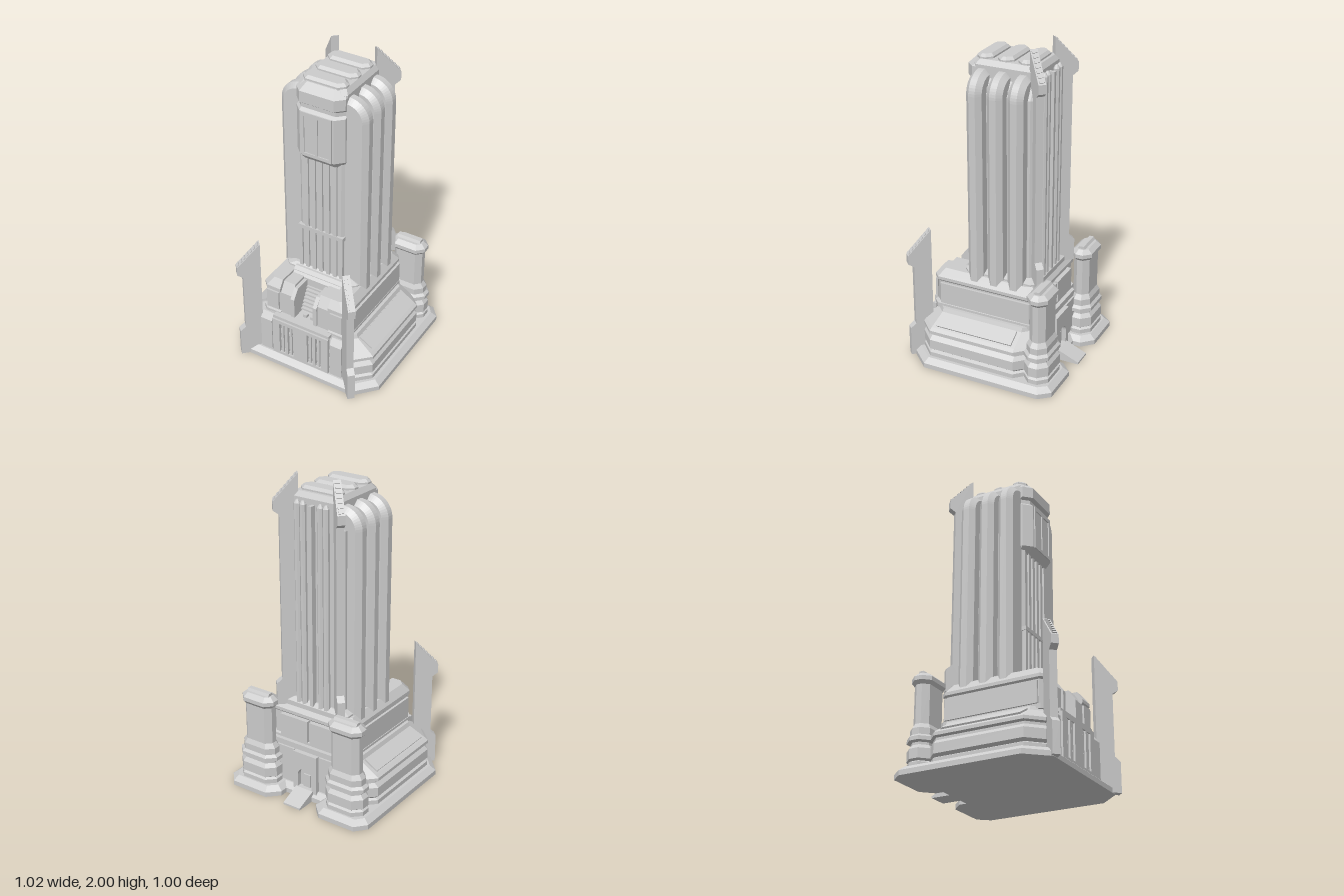
import * as THREE from 'three';

const material = new THREE.MeshStandardMaterial({ color: 0xcccccc, flatShading: true });

export function createModel() {
  const model = new THREE.Group();

  const add = (name, geometry, x = 0, y = 0, z = 0, parent = model) => {
    const mesh = new THREE.Mesh(geometry, material);
    mesh.name = name;
    mesh.position.set(x, y, z);
    parent.add(mesh);
    return mesh;
  };
  const box = (name, w, h, d, x, y, z, parent) => add(name, new THREE.BoxGeometry(w, h, d), x, y, z, parent);
  const toShape = (pts) => new THREE.Shape(pts.map((p) => new THREE.Vector2(p[0], p[1])));
  const rect = (x0, y0, x1, y1) => [[x0, y0], [x1, y0], [x1, y1], [x0, y1]];
  const extrude = (shape, depth) => new THREE.ExtrudeGeometry(shape, { depth, bevelEnabled: false, curveSegments: 8 });

  // Chamfered rectangle in plan, counterclockwise from above
  const oct = (hx, zf, zb, c) => [
    [hx - c, zf], [hx, zf - c], [hx, zb + c], [hx - c, zb],
    [c - hx, zb], [-hx, zb + c], [-hx, zf - c], [c - hx, zf]];
  const mirrored = (half) => [...half, ...half.slice().reverse().map(([x, z]) => [-x, z])];

  // Solid through plan outlines stacked at heights: [[y, outline], ...]
  const loft = (name, levels, x = 0, z = 0) => {
    const pos = [];
    const put = (y, p) => pos.push(p[0], y, p[1]);
    for (let i = 0; i + 1 < levels.length; i++) {
      const [y0, a] = levels[i], [y1, b] = levels[i + 1];
      a.forEach((p, j) => {
        const k = (j + 1) % a.length;
        put(y0, p); put(y0, a[k]); put(y1, b[k]);
        put(y0, p); put(y1, b[k]); put(y1, b[j]);
      });
    }
    [[levels[0], true], [levels[levels.length - 1], false]].forEach(([[y, o], flip]) => {
      const flat = o.map((p) => new THREE.Vector2(p[0], -p[1]));
      for (const f of THREE.ShapeUtils.triangulateShape(flat, [])) {
        (flip ? [f[0], f[2], f[1]] : f).forEach((i) => put(y, o[i]));
      }
    });
    const g = new THREE.BufferGeometry();
    g.setAttribute('position', new THREE.Float32BufferAttribute(pos, 3));
    g.computeVertexNormals();
    return add(name, g, x, 0, z);
  };
  // Side profile of (z, y) points pushed from x0 to x1
  const prism = (name, pts, x0, x1) => {
    const mesh = add(name, extrude(toShape(pts), x1 - x0), x1);
    mesh.rotation.y = -Math.PI / 2;
    return mesh;
  };

  // Ground pad with two rear lobes
  const pad = (d) => mirrored([
    [0.39 - 0.4 * d, 0.46 - d], [0.51 - d, 0.33 - 0.4 * d], [0.51 - d, -0.43 + 0.4 * d], [0.45 - 0.4 * d, -0.5 + d],
    [0.2 + 0.4 * d, -0.5 + d], [0.13 + d, -0.43 + 0.4 * d], [0.13 + d, -0.38 + d]]);
  loft('groundPad', [[0, pad(0)], [0.03, pad(0)], [0.058, pad(0.035)]]);

  // Stepped lower body with sloping side roofs
  const tier = (d) => oct(0.455 - d, 0.405 - d * 0.2, -0.335, 0.09);
  loft('lowerBody', [[0.05, tier(0)], [0.085, tier(0)], [0.095, tier(0.02)], [0.11, tier(0)], [0.17, tier(0)],
    [0.195, tier(0.025)], [0.21, tier(0.025)], [0.215, tier(0)], [0.235, tier(0)], [0.25, tier(0.02)],
    [0.31, tier(0.12)], [0.335, tier(0.13)]]);

  // Upper podium, notched at the front for the entrance bay
  const podium = (d) => mirrored([[0.17, 0.21], [0.17, 0.375 - d], [0.27 - d, 0.375 - d], [0.305 - d, 0.34 - d],
    [0.305 - d, -0.28 + d], [0.28 - d, -0.31 + d]]);
  loft('podium', [[0.32, podium(0)], [0.35, podium(0)], [0.355, podium(0.015)], [0.5, podium(0.015)],
    [0.51, podium(0.005)], [0.53, podium(0.005)], [0.58, podium(0.04)]]);

  for (const s of [1, -1]) {
    // Raised side panels on the podium and the sloping roofs
    loft('podiumSidePanel', [[0.355, oct(0.01, 0.32, -0.28, 0.004)], [0.49, oct(0.01, 0.32, -0.28, 0.004)]], s * 0.295);
    const roof = box('slopedRoofPanel', 0.1, 0.014, 0.5, s * 0.383, 0.285, 0.03);
    roof.rotation.z = -s * Math.atan2(0.06, 0.1);
    prism('frontFlank', [[0.36, 0.055], [0.415, 0.055], [0.415, 0.29], [0.385, 0.33], [0.36, 0.33]],
      s > 0 ? 0.21 : -0.29, s > 0 ? 0.29 : -0.21);
    box('podiumFrontPanel', 0.085, 0.13, 0.016, s * 0.225, 0.43, 0.364);

    // Entrance bay side blocks and arms
    const span = (a, b) => (s > 0 ? [a, b] : [-b, -a]);
    prism('bayBlock', [[0.2, 0.33], [0.36, 0.33], [0.36, 0.5], [0.32, 0.565], [0.2, 0.565]], ...span(0.09, 0.171));
    prism('bayArm', [[0.2, 0.355], [0.375, 0.355], [0.375, 0.49], [0.33, 0.55], [0.2, 0.55]], ...span(0.066, 0.092));
    box('bayFloorLight', 0.025, 0.02, 0.025, s * 0.025, 0.345, 0.31);

    // Rear corner turrets
    const t = (hx, hz) => oct(hx, hz, -hz, hz * 0.65);
    loft('cornerTurret', [[0.05, t(0.135, 0.08)], [0.085, t(0.135, 0.08)], [0.095, t(0.12, 0.066)],
      [0.105, t(0.135, 0.08)], [0.165, t(0.135, 0.08)], [0.19, t(0.115, 0.062)], [0.205, t(0.115, 0.062)],
      [0.212, t(0.138, 0.08)], [0.235, t(0.138, 0.08)], [0.25, t(0.12, 0.066)], [0.29, t(0.12, 0.066)],
      [0.32, t(0.1, 0.052)], [0.56, t(0.1, 0.052)], [0.58, t(0.118, 0.068)], [0.605, t(0.118, 0.068)],
      [0.63, t(0.09, 0.04)]], s * 0.32, -0.375);
    const crest = add('turretCrest', new THREE.CylinderGeometry(0.028, 0.028, 0.16, 6), s * 0.32, 0.622, -0.375);
    crest.rotation.z = Math.PI / 2;

    // Rounded buttress pipes up the tower sides
    const profile = new THREE.Shape();
    profile.moveTo(0.12, 0.56);
    profile.lineTo(0.258, 0.56);
    profile.lineTo(0.258, 1.72);
    profile.absarc(0.158, 1.72, 0.1, 0, Math.PI / 2, false);
    profile.lineTo(0.12, 1.82);
    for (const z of [0.095, -0.035, -0.165]) {
      const g = new THREE.ExtrudeGeometry(profile, {
        depth: 0.04, bevelThickness: 0.029, bevelSize: 0.03, bevelSegments: 1, curveSegments: 6 });
      g.translate(0, 0, -0.02);
      add('buttressPipe', g, 0, 0, z).rotation.y = s > 0 ? 0 : Math.PI;
    }
    for (const z of [0.03, -0.1]) box('sideRib', 0.02, 1.18, 0.016, s * 0.203, 1.17, z);

    // Diagonal corner fins with toothed sloping tops
    const fin = (name, bottom, foot, tip, top, x, z, angle) => {
      const g = new THREE.Group();
      g.name = name;
      const L = 0.145, n = L - 0.035;
      const plate = extrude(toShape([[0, bottom], [L, bottom], [L, foot - 0.03], [n, foot], [n, tip - 0.08],
        [L, tip - 0.055], [L, tip], [0, top]]), 0.045);
      add('finPlate', plate, 0, 0, -0.0225, g);
      for (let i = 0; i < 7; i++) {
        const k = (i + 0.6) / 7.2;
        const tooth = box('finTooth', 0.014, 0.012, 0.03, L * k, top + (tip - top) * k, 0, g);
        tooth.rotation.z = Math.atan2(tip - top, L);
      }
      g.position.set(s * x, 0, z);
      g.rotation.y = s > 0 ? angle : Math.PI - angle;
      model.add(g);
    };
    fin('frontFin', 0.003, 0.22, 0.69, 0.845, 0.302, 0.382, -Math.PI / 4);
    fin('backFin', 0.56, 0.73, 1.84, 2, 0.135, -0.215, Math.PI / 4);

    // Rear wall panels
    box('rearUpperPanel', 0.2, 0.14, 0.03, s * 0.108, 0.43, -0.31);
    box('rearLowerPanel', 0.125, 0.2, 0.02, s * 0.155, 0.2, -0.337);
  }

  // Slotted lower front panel
  const front = toShape(rect(-0.2, 0.055, 0.2, 0.325));
  for (const x of [-0.13, -0.07, 0.07, 0.13]) {
    front.holes.push(new THREE.Path(rect(x - 0.02, 0.075, x + 0.02, 0.3).map((p) => new THREE.Vector2(...p))));
    box('frontSlotBar', 0.014, 0.225, 0.012, x, 0.1875, 0.41);
  }
  add('frontSlotPanel', extrude(front, 0.024), 0, 0, 0.398);
  box('frontLedge', 0.4, 0.02, 0.07, 0, 0.335, 0.375);

  // Louvres, sill and lintel of the entrance bay
  for (let i = 0; i < 7; i++) box('bayLouvre', 0.132, 0.012, 0.03, 0, 0.5 - i * 0.021, 0.218 + i * 0.011);
  prism('bayBacking', [[0.2, 0.33], [0.28, 0.33], [0.205, 0.5], [0.2, 0.5]], -0.07, 0.07);
  prism('bayLintel', [[0.16, 0.51], [0.225, 0.51], [0.225, 0.56], [0.19, 0.6], [0.16, 0.6]], -0.172, 0.172);

  // Rear doorway with arched frame, door leaf and ramp
  const arch = (r, top) => {
    const p = new THREE.Path();
    p.moveTo(-r, 0.05);
    p.lineTo(r, 0.05);
    p.lineTo(r, top);
    p.absarc(0, top, r, 0, Math.PI, false);
    return p;
  };
  const frame = toShape(rect(-0.085, 0.045, 0.085, 0.3));
  frame.holes.push(arch(0.052, 0.145));
  add('doorFrame', extrude(frame, 0.035), 0, 0, -0.365);
  box('doorLeaf', 0.05, 0.1, 0.016, 0, 0.1, -0.337);
  prism('entryRamp', [[-0.5, 0], [-0.33, 0], [-0.33, 0.065], [-0.37, 0.065], [-0.5, 0.012]], -0.062, 0.062);

  // Tower core with side shoulders and a plinth
  loft('towerShoulders', [[0.56, oct(0.205, 0.14, -0.25, 0.02)], [1.72, oct(0.205, 0.14, -0.25, 0.02)],
    [1.8, oct(0.16, 0.14, -0.25, 0.02)]]);
  const core = (d) => oct(0.16 - d, 0.16 - d, -0.25 + d, 0.025);
  loft('towerCore', [[0.56, core(0)], [1.87, core(0)], [1.9, core(0.02)]]);
  loft('towerPlinth', [[0.56, oct(0.25, 0.185, -0.29, 0.03)], [0.59, oct(0.25, 0.185, -0.29, 0.03)],
    [0.61, oct(0.2, 0.165, -0.26, 0.02)]]);

  // Front ribs, crossband and rear ribs
  for (let i = -2; i <= 2; i++) box('frontRib', 0.026, 0.84, 0.02, i * 0.048, 1, 0.162);
  for (const s of [1, -1]) box('frontPilaster', 0.022, 0.32, 0.02, s * 0.14, 0.75, 0.162);
  box('frontBand', 0.31, 0.025, 0.03, 0, 0.9, 0.16);
  for (const x of [-0.1, -0.06, 0.06, 0.1]) {
    add('rearRib', new THREE.CylinderGeometry(0.02, 0.02, 1.28, 8), x, 1.2, -0.268).rotation.y = Math.PI / 8;
    add('rearRibCap', new THREE.CylinderGeometry(0.008, 0.02, 0.02, 8), x, 1.85, -0.268).rotation.y = Math.PI / 8;
  }
  box('rearSpine', 0.022, 1.28, 0.05, 0, 1.2, -0.262);

  // Projecting head with a two-pane window
  const head = (d, hx = 0.16) => oct(hx, 0.205 - d, 0.05, 0.048);
  loft('towerHead', [[1.4, head(0.035, 0.15)], [1.445, head(0)], [1.73, head(0)], [1.745, head(0.02)],
    [1.77, head(0.02)], [1.785, head(0)], [1.855, head(0)], [1.9, head(0.045, 0.135)]]);
  const windowFrame = toShape(rect(-0.1, 1.445, 0.1, 1.73));
  for (const x of [-0.045, 0.045]) {
    windowFrame.holes.push(new THREE.Path(rect(x - 0.036, 1.465, x + 0.036, 1.705).map((p) => new THREE.Vector2(...p))));
  }
  add('windowFrame', extrude(windowFrame, 0.012), 0, 0, 0.2);

  // Roof vents
  for (const z of [0.1, -0.03, -0.16]) {
    loft('roofVent', [[1.89, oct(0.14, 0.052, -0.052, 0.035)], [1.91, oct(0.14, 0.052, -0.052, 0.035)],
      [1.926, oct(0.122, 0.036, -0.036, 0.026)]], 0, z);
  }
  return model;
}
